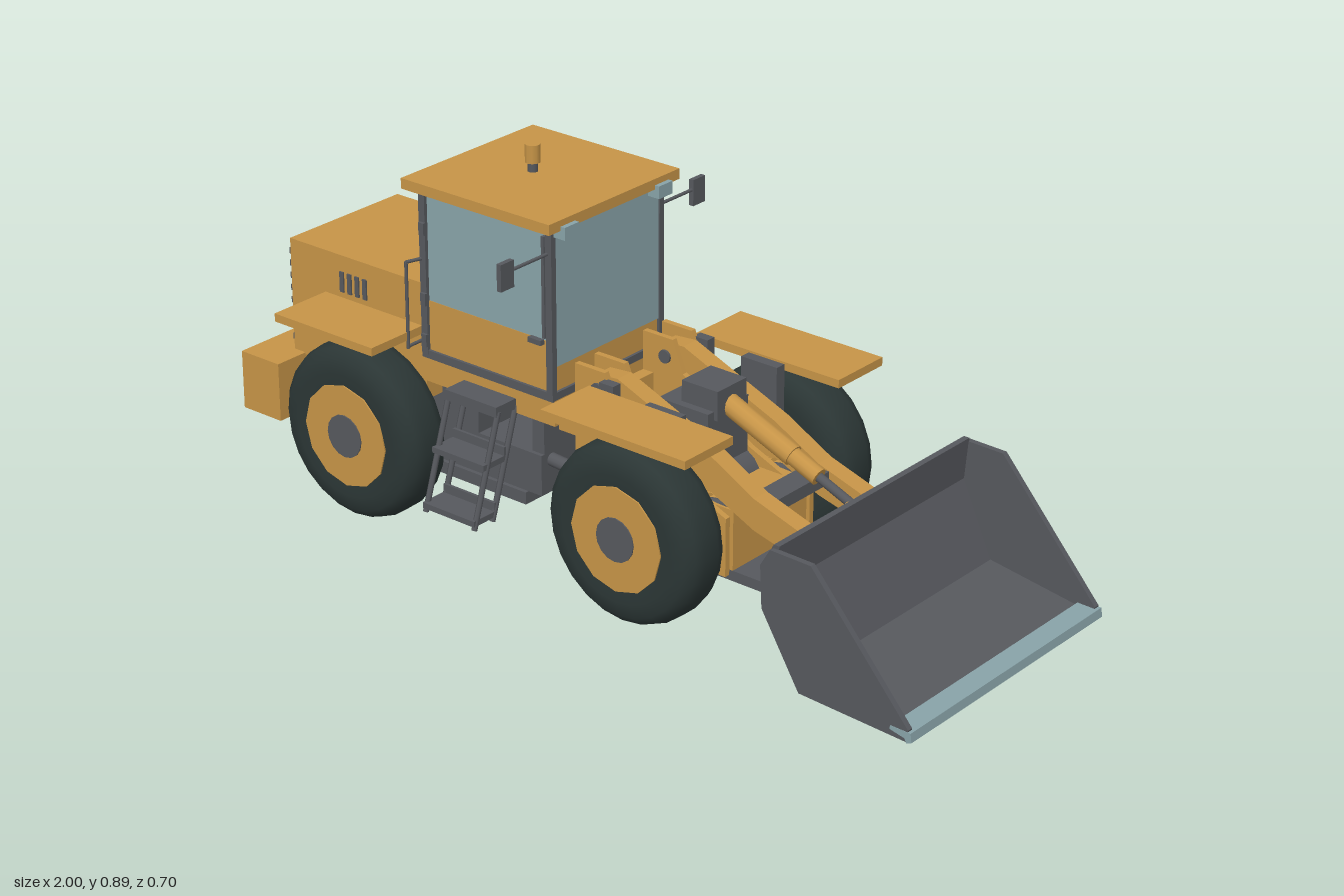
import * as THREE from 'three';

const paint = (name, color) => {
  const m = new THREE.MeshStandardMaterial({ color });
  m.name = name;
  return m;
};

export function createModel() {
  const model = new THREE.Group();
  model.name = 'bucketTractor';
  const gold = paint('goldPaint', 0xc69447);
  const gray = paint('darkGraySteel', 0x56585d);
  const rubber = paint('tyreRubber', 0x2b3635);
  const glass = paint('paleGlass', 0x88a3a8);

  const add = (name, geo, mat, parent = model) => {
    const mesh = new THREE.Mesh(geo, mat);
    mesh.name = name;
    parent.add(mesh);
    return mesh;
  };
  // box given by its limits on each axis
  const box = (name, mat, x0, x1, y0, y1, z0, z1) => {
    const m = add(name, new THREE.BoxGeometry(x1 - x0, y1 - y0, z1 - z0), mat);
    m.position.set((x0 + x1) / 2, (y0 + y1) / 2, (z0 + z1) / 2);
  };
  // the same box on both sides
  const pair = (name, mat, x0, x1, y0, y1, z0, z1) => {
    box(name + 'Front', mat, x0, x1, y0, y1, z0, z1);
    box(name + 'Back', mat, x0, x1, y0, y1, -z1, -z0);
  };
  const rod = (name, mat, a, b, r, sides = 12) => {
    const p = new THREE.Vector3(...a), q = new THREE.Vector3(...b), d = q.clone().sub(p);
    const m = add(name, new THREE.CylinderGeometry(r, r, d.length(), sides), mat);
    m.position.copy(p).add(q).multiplyScalar(0.5);
    m.quaternion.setFromUnitVectors(new THREE.Vector3(0, 1, 0), d.normalize());
  };
  // side outline extruded across z
  const slab = (name, mat, pts, z0, z1) => {
    const shape = new THREE.Shape(pts.map(p => new THREE.Vector2(...p)));
    const m = add(name, new THREE.ExtrudeGeometry(shape, { depth: z1 - z0, bevelEnabled: false }), mat);
    m.position.z = z0;
  };

  // wheels and axles
  const tyreProfile = [[0.1, -0.062], [0.15, -0.0675], [0.185, -0.062], [0.204, -0.045], [0.212, -0.022],
    [0.212, 0.022], [0.204, 0.045], [0.185, 0.062], [0.15, 0.0675], [0.1, 0.062]]
    .map(p => new THREE.Vector2(...p));
  const tyreGeo = new THREE.LatheGeometry(tyreProfile, 24);
  for (const x of [-0.605, 0.2]) {
    rod('axle', gray, [x, 0.22, -0.22], [x, 0.22, 0.22], 0.045);
    rod('differential', gray, [x, 0.22, -0.07], [x, 0.22, 0.07], 0.085, 16);
    for (const s of [-1, 1]) {
      const wheel = new THREE.Group();
      wheel.name = 'wheel';
      wheel.position.set(x, 0.218, s * 0.266);
      wheel.rotation.x = Math.PI / 2;
      add('tyre', tyreGeo, rubber, wheel);
      add('rim', new THREE.CylinderGeometry(0.125, 0.125, 0.136, 12), gold, wheel);
      add('hub', new THREE.CylinderGeometry(0.052, 0.052, 0.142, 16), gray, wheel);
      model.add(wheel);
    }
  }
  pair('frontFender', gold, 0, 0.4, 0.45, 0.47, 0.185, 0.345);
  pair('rearFender', gold, -0.805, -0.5, 0.45, 0.47, 0.18, 0.345);
  pair('fenderPost', gray, 0.15, 0.25, 0.28, 0.465, 0.158, 0.186);
  pair('fenderBracket', gray, 0.02, 0.06, 0.38, 0.48, 0.15, 0.175);

  // rear chassis
  box('rearBellyPlate', gray, -0.93, -0.23, 0.09, 0.12, -0.14, 0.14);
  box('rearFrame', gray, -0.95, -0.38, 0.12, 0.34, -0.13, 0.13);
  box('middleFrame', gray, -0.38, -0.19, 0.12, 0.22, -0.13, 0.13);
  box('frameEnd', gray, -0.225, -0.19, 0.12, 0.34, -0.12, 0.12);
  box('counterweight', gold, -1, -0.88, 0.15, 0.295, -0.27, 0.27);
  box('towHitch', gray, -0.985, -0.93, 0.13, 0.16, -0.025, 0.025);

  // engine hood with grille and vents
  box('hood', gold, -0.915, -0.49, 0.29, 0.575, -0.18, 0.18);
  box('hoodRearPanel', gray, -0.922, -0.914, 0.3, 0.555, -0.17, 0.17);
  for (let i = 0; i < 8; i++) {
    const y = 0.31 + i * 0.031;
    box('grilleSlat', gray, -0.934, -0.915, y, y + 0.015, -0.165, 0.165);
  }
  for (let i = 0; i < 4; i++) {
    const x = -0.755 + i * 0.024;
    pair('hoodVent', gray, x, x + 0.012, 0.485, 0.535, 0.178, 0.184);
  }
  rod('exhaustPipe', gray, [-0.665, 0.57, -0.133], [-0.665, 0.735, -0.133], 0.014);
  rod('exhaustCap', gray, [-0.665, 0.727, -0.133], [-0.665, 0.74, -0.133], 0.021);

  // cab
  box('cabPlatform', gold, -0.5, -0.1, 0.34, 0.402, -0.185, 0.185);
  box('cabBase', gray, -0.492, -0.1, 0.4, 0.42, -0.19, 0.19);
  box('cabLowerPanel', gold, -0.485, -0.107, 0.42, 0.54, -0.183, 0.183);
  box('cabWindows', glass, -0.485, -0.107, 0.54, 0.8, -0.182, 0.182);
  box('windscreen', glass, -0.108, -0.103, 0.48, 0.8, -0.176, 0.176);
  box('cabTopFrame', gray, -0.492, -0.1, 0.798, 0.812, -0.19, 0.19);
  for (const x of [-0.492, -0.118]) pair('cabPost', gray, x, x + 0.018, 0.41, 0.81, 0.176, 0.191);
  box('roof', gold, -0.515, -0.08, 0.81, 0.835, -0.22, 0.22);
  pair('roofLight', glass, -0.1, -0.068, 0.79, 0.82, 0.135, 0.182);
  pair('doorHandle', gray, -0.168, -0.13, 0.53, 0.542, 0.183, 0.196);
  for (const y of [0.43, 0.53, 0.7]) pair('doorHinge', gray, -0.487, -0.472, y, y + 0.03, 0.19, 0.198);
  pair('doorBar', gray, -0.126, -0.118, 0.55, 0.79, 0.186, 0.195);
  rod('beaconStem', gray, [-0.32, 0.83, 0], [-0.32, 0.86, 0], 0.012);
  rod('beacon', gold, [-0.32, 0.857, 0], [-0.32, 0.9, 0], 0.018, 10);

  // mirrors, handrails and steps
  for (const s of [-1, 1]) {
    rod('mirrorArm', gray, [-0.113, 0.75, s * 0.185], [-0.113, 0.75, s * 0.32], 0.004, 8);
    rod('handrail', gray, [-0.5, 0.43, s * 0.227], [-0.5, 0.641, s * 0.227], 0.004, 8);
    rod('handrailTop', gray, [-0.5, 0.64, s * 0.227], [-0.485, 0.64, s * 0.18], 0.004, 8);
    rod('handrailFoot', gray, [-0.5, 0.435, s * 0.227], [-0.5, 0.435, s * 0.175], 0.004, 8);
  }
  pair('mirror', gray, -0.119, -0.107, 0.712, 0.775, 0.303, 0.345);
  for (const [y, z] of [[0.35, 0.25], [0.235, 0.295], [0.11, 0.33]]) {
    pair('stepTread', gray, -0.37, -0.215, y, y + 0.014, z - 0.07, z);
    pair('stepRiser', gray, -0.37, -0.215, y, y + 0.035, z - 0.075, z - 0.068);
  }
  for (const s of [-1, 1]) for (const x of [-0.366, -0.219]) for (const d of [0, 0.06]) {
    rod('stepRail', gray, [x, 0.36, s * (0.24 - d)], [x, 0.1, s * (0.325 - d)], 0.007, 6);
  }
  pair('stepMount', gray, -0.37, -0.215, 0.355, 0.375, 0.12, 0.25);

  // articulation joint
  for (const y of [0.115, 0.265]) {
    box('hingePlate', gold, -0.2, -0.05, y, y + 0.032, -0.07, 0.07);
  }
  rod('hingePin', gray, [-0.135, 0.1, 0], [-0.135, 0.33, 0], 0.035, 16);
  for (const s of [-1, 1]) {
    rod('steeringCylinder', gray, [-0.23, 0.2, s * 0.09], [-0.05, 0.2, s * 0.11], 0.016);
  }

  // front frame
  box('frontBellyPlate', gray, -0.05, 0.45, 0.09, 0.115, -0.13, 0.13);
  box('frontFrame', gold, -0.06, 0.36, 0.115, 0.26, -0.13, 0.13);
  box('frontFrameBack', gold, -0.065, -0.035, 0.115, 0.4, -0.15, 0.15);
  const tower = [[-0.065, 0.11], [-0.065, 0.495], [0.02, 0.495], [0.05, 0.42], [0.24, 0.3], [0.36, 0.25], [0.36, 0.11]];
  for (const z of [-0.156, -0.09, 0.076, 0.142]) slab('towerPlate', gold, tower, z, z + 0.014);
  box('crossMember', gray, 0.39, 0.45, 0.27, 0.3, -0.1, 0.1);
  box('tiltMount', gray, 0.15, 0.25, 0.41, 0.48, -0.05, 0.05);
  box('tiltMountBase', gray, 0.1, 0.24, 0.26, 0.43, -0.07, 0.07);

  // lift arms and hydraulics
  const arm = [[-0.03, 0.43], [-0.02, 0.475], [0.04, 0.48], [0.3, 0.375], [0.42, 0.31], [0.61, 0.25],
    [0.61, 0.185], [0.42, 0.235], [0.28, 0.3], [0.02, 0.42]];
  for (const s of [-1, 1]) {
    slab('liftArm', gold, arm, s * 0.113 - 0.023, s * 0.113 + 0.023);
    rod('armPivot', gray, [0, 0.45, s * 0.07], [0, 0.45, s * 0.162], 0.016);
    rod('bucketPin', gray, [0.6, 0.215, s * 0.08], [0.6, 0.215, s * 0.146], 0.024);
    rod('liftCylinder', gold, [0.04, 0.2, s * 0.113], [0.28, 0.25, s * 0.113], 0.02);
    rod('liftRod', gray, [0.28, 0.25, s * 0.113], [0.42, 0.275, s * 0.113], 0.011);
  }
  rod('tiltCylinder', gold, [0.19, 0.455, 0], [0.42, 0.362, 0], 0.025);
  rod('tiltCylinderHead', gold, [0.42, 0.362, 0], [0.49, 0.333, 0], 0.021);
  rod('tiltRod', gray, [0.48, 0.337, 0], [0.6, 0.288, 0], 0.011);
  box('tiltBracket', gold, 0.575, 0.615, 0.27, 0.305, -0.02, 0.02);

  // bucket
  const shell = [[0.605, 0.3], [0.63, 0.35], [0.645, 0.35], [0.636, 0.25], [0.715, 0.075], [0.985, 0.034],
    [0.985, 0.02], [0.71, 0.035], [0.61, 0.2]];
  slab('bucketShell', gray, shell, -0.338, 0.338);
  const cheek = [[0.605, 0.3], [0.63, 0.342], [0.735, 0.34], [0.99, 0.05], [0.985, 0.022], [0.71, 0.035], [0.61, 0.2]];
  for (const z of [-0.35, 0.336]) slab('bucketSide', gray, cheek, z, z + 0.014);
  slab('cuttingEdge', glass, [[0.945, 0.038], [0.945, 0.047], [0.997, 0.046], [1, 0.025], [0.987, 0.02], [0.982, 0.03]], -0.351, 0.351);
  for (let i = -2; i <= 2; i++) {
    const z = i * 0.132;
    slab('bucketRib', gray, [[0.71, 0.036], [0.97, 0.024], [0.965, 0.011], [0.72, 0.024]], z - 0.005, z + 0.005);
  }
  return model;
}
